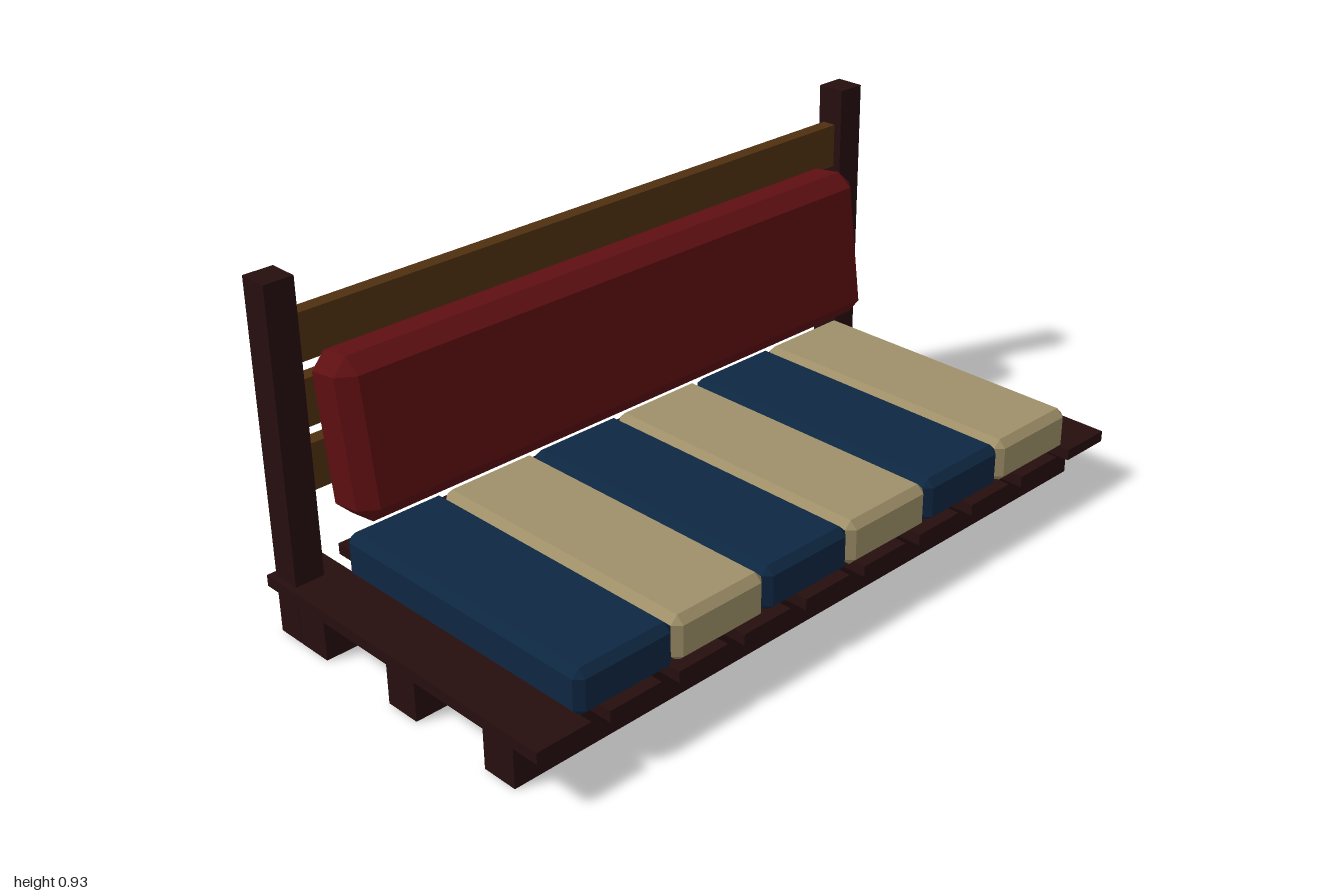
import * as THREE from 'three';
import { ConvexGeometry } from 'three/addons/geometries/ConvexGeometry.js';

function material(name, color) {
  const m = new THREE.MeshStandardMaterial({ color });
  m.name = name;
  return m;
}

// Box with single flat chamfers on every edge and corner
function chamferBox(w, h, d, b) {
  const x = w / 2, y = h / 2, z = d / 2, points = [];
  for (const i of [-1, 1]) for (const j of [-1, 1]) for (const k of [-1, 1]) {
    points.push(
      new THREE.Vector3(i * x, j * (y - b), k * (z - b)),
      new THREE.Vector3(i * (x - b), j * y, k * (z - b)),
      new THREE.Vector3(i * (x - b), j * (y - b), k * z));
  }
  return new ConvexGeometry(points);
}

export function createModel() {
  const darkWood = material('dark wood', 0x260e0e);
  const brownWood = material('brown wood', 0x4f3010);
  const red = material('red fabric', 0x5e0f12);
  const blue = material('blue fabric', 0x0e2742);
  const tan = material('tan fabric', 0x9f9069);

  const model = new THREE.Group();
  model.name = 'slattedSofa';
  const add = (name, geometry, mat, x, y, z) => {
    const mesh = new THREE.Mesh(geometry, mat);
    mesh.name = name;
    mesh.position.set(x, y, z);
    model.add(mesh);
    return mesh;
  };

  // Base beams running along the width
  const beam = new THREE.BoxGeometry(1.968, 0.125, 0.1);
  for (const z of [-0.34, 0, 0.34]) add('baseBeam', beam, darkWood, 0, 0.0625, z);

  // Seat slats running front to back
  const slat = new THREE.BoxGeometry(0.152, 0.03, 0.976);
  for (let i = 0; i < 10; i++) add('seatSlat', slat, darkWood, -0.924 + i * 0.2053, 0.14, 0);

  // Back posts
  const post = new THREE.BoxGeometry(0.08, 0.926, 0.08);
  for (const s of [-1, 1]) add('backPost', post, darkWood, s * 0.944, 0.463, -0.432);

  // Backrest boards between the posts
  const board = new THREE.BoxGeometry(1.81, 0.122, 0.04);
  for (const y of [0.432, 0.597, 0.762]) add('backBoard', board, brownWood, 0, y, -0.435);

  // Seat cushions in alternating colours
  const cushion = chamferBox(0.287, 0.121, 0.825, 0.02);
  for (let i = 0; i < 6; i++) {
    add('seatCushion', cushion, i % 2 ? tan : blue, (i - 2.5) * 0.287, 0.2065, 0.0525);
  }

  // Leaning back cushion
  const back = add('backCushion', chamferBox(1.742, 0.409, 0.164, 0.04), red, 0, 0.516, -0.346);
  back.rotation.x = -0.134;

  return model;
}
